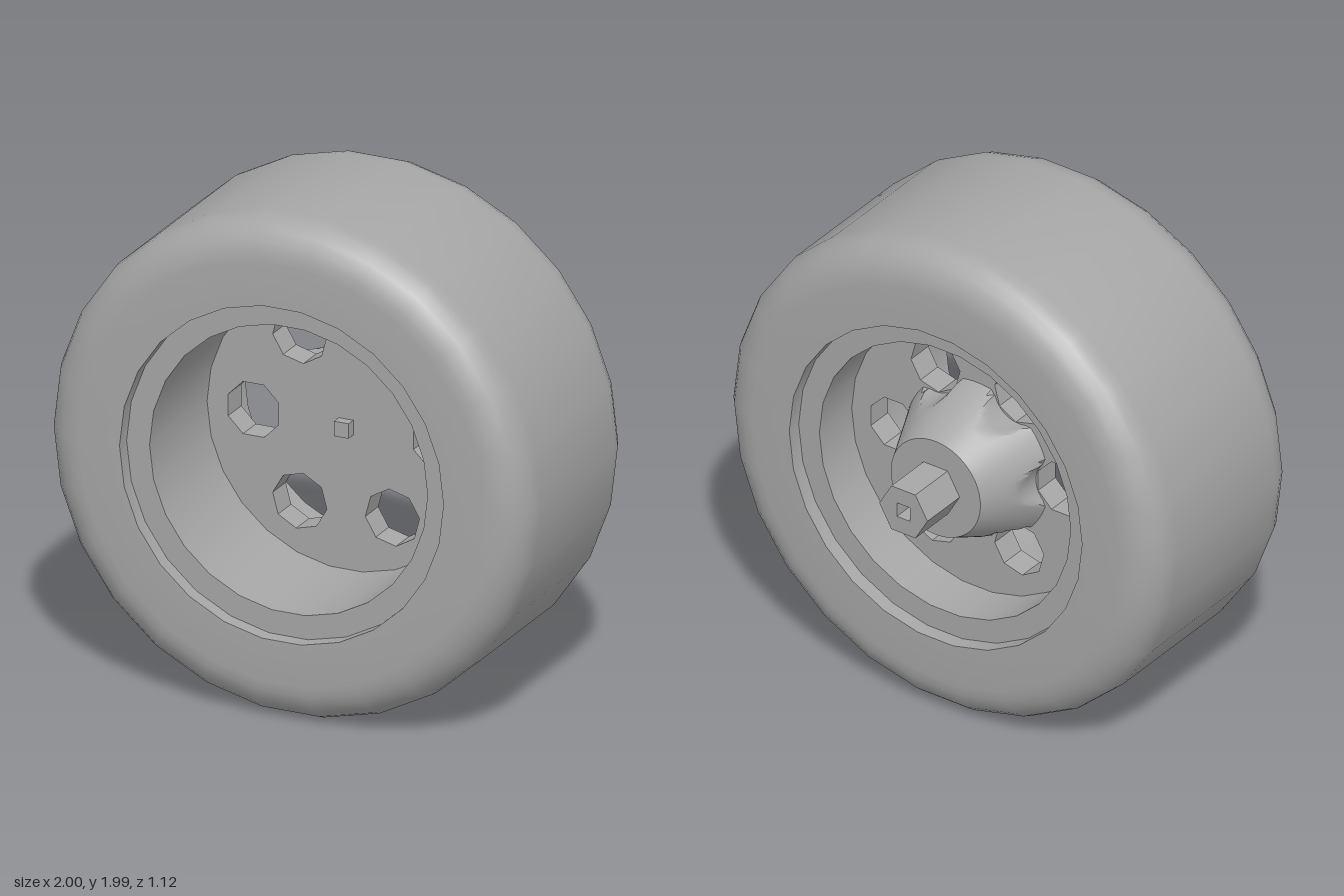
import * as THREE from 'three';
import { toCreasedNormals } from 'three/addons/utils/BufferGeometryUtils.js';

const SIDES = 26;
const HOLES = 6, HOLE_DIST = 0.383, HOLE_R = 0.113;
const DISC_BACK = -0.095, DISC_FRONT = 0.015;
const TYRE_BACK = -0.36, TYRE_FRONT = 0.56;

// Regular polygon points
function polygon(n, r, cx = 0, cy = 0, start = 0) {
  return Array.from({ length: n }, (_, i) => {
    const a = start + (i / n) * Math.PI * 2;
    return new THREE.Vector2(cx + r * Math.cos(a), cy + r * Math.sin(a));
  });
}

// Straight extrusion along z from z0 to z1
function slab(outline, holes, z0, z1) {
  const shape = new THREE.Shape(outline);
  shape.holes = holes.map((h) => new THREE.Path(h));
  return new THREE.ExtrudeGeometry(shape, { depth: z1 - z0, bevelEnabled: false }).translate(0, 0, z0);
}

// Tyre and stepped rim as one closed turned profile
function tyreGeometry() {
  const p = [];
  const add = (r, z) => p.push(new THREE.Vector2(r, z));
  const cr = 0.16, cz = 0.15, steps = 6;
  for (let i = 0; i <= steps; i++) {
    const a = (i / steps) * Math.PI / 2;
    add(1 - cr + cr * Math.sin(a), TYRE_BACK + cz - cz * Math.cos(a));
  }
  for (let i = 0; i <= steps; i++) {
    const a = (i / steps) * Math.PI / 2;
    add(1 - cr + cr * Math.cos(a), TYRE_FRONT - cz + cz * Math.sin(a));
  }
  add(0.67, TYRE_FRONT);
  add(0.67, TYRE_FRONT - 0.06);
  add(0.575, TYRE_FRONT - 0.06);
  add(0.575, TYRE_BACK + 0.06);
  add(0.67, TYRE_BACK + 0.06);
  add(0.67, TYRE_BACK);
  add(1 - cr, TYRE_BACK);
  const g = new THREE.LatheGeometry(p, SIDES, Math.PI / 2).rotateX(Math.PI / 2);
  return toCreasedNormals(g, 0.6);
}

// Flared hub, scooped out where the holes run past it
function hubGeometry() {
  const z1 = DISC_BACK + 0.005;
  const g = new THREE.CylinderGeometry(0.205, 0.33, z1 - TYRE_BACK, 96, 8)
    .rotateX(-Math.PI / 2).translate(0, 0, (TYRE_BACK + z1) / 2);
  const pos = g.attributes.position;
  const sector = (Math.PI * 2) / HOLES, cut = HOLE_R + 0.002;
  for (let i = 0; i < pos.count; i++) {
    const x = pos.getX(i), y = pos.getY(i), r = Math.hypot(x, y);
    if (r < 1e-6) continue;
    const angle = Math.atan2(y, x);
    const off = angle - Math.round(angle / sector) * sector;
    const side = HOLE_DIST * Math.sin(off);
    if (Math.abs(side) >= cut) continue;
    const limit = HOLE_DIST * Math.cos(off) - Math.sqrt(cut * cut - side * side);
    if (r > limit) pos.setXY(i, (x * limit) / r, (y * limit) / r);
  }
  return toCreasedNormals(g, 0.5);
}

export function createModel() {
  const grey = new THREE.MeshStandardMaterial({ color: 0xa6a6a6 });
  grey.name = 'grey';
  const model = new THREE.Group();
  model.name = 'wheel';
  const add = (name, geometry) => {
    const mesh = new THREE.Mesh(geometry, grey);
    mesh.name = name;
    mesh.position.y = 0.994;
    model.add(mesh);
  };

  add('tyreAndRim', tyreGeometry());

  // Web disc with a ring of octagonal holes
  const holes = [];
  for (let i = 0; i < HOLES; i++) {
    const a = (i / HOLES) * Math.PI * 2;
    holes.push(polygon(8, HOLE_R, HOLE_DIST * Math.cos(a), HOLE_DIST * Math.sin(a), a + Math.PI / 8));
  }
  add('webDisc', slab(polygon(SIDES, 0.58), holes, DISC_BACK, DISC_FRONT));

  add('hub', hubGeometry());

  // Hexagonal drive stub with a square socket
  const square = polygon(4, 0.042, 0, 0, Math.PI / 4);
  add('hexStub', slab(polygon(6, 0.11), [square], -0.565, TYRE_BACK));

  // Square axle end showing on the front of the disc
  add('axlePin', slab(square, [], DISC_FRONT - 0.02, DISC_FRONT + 0.04));

  return model;
}
